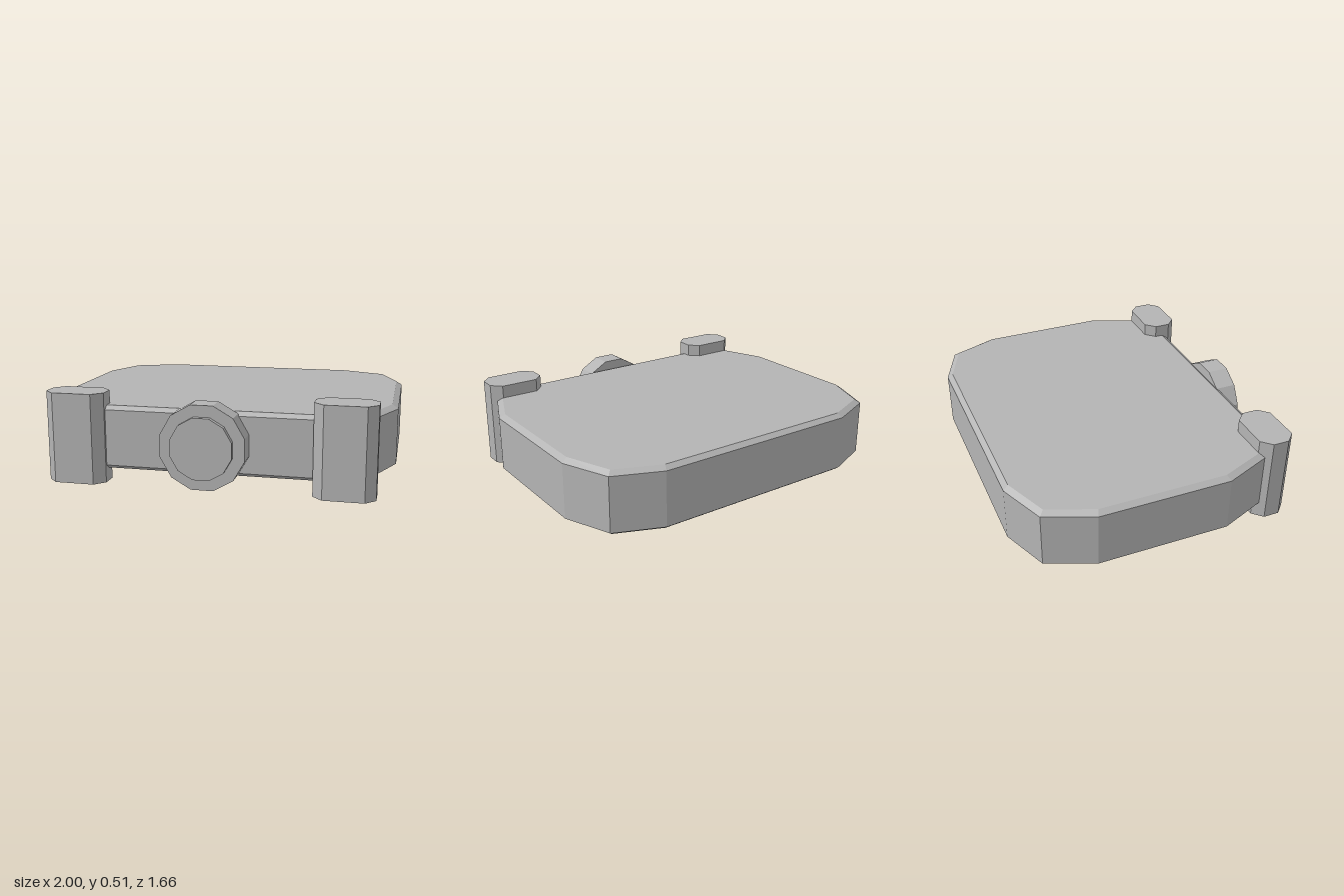
import * as THREE from 'three';

// Convex prism made of stacked outlines: each ring is { y, pts: [[x, z], ...] }
function loft(rings) {
  const pos = [];
  const n = rings[0].pts.length;
  const at = (r, i) => [r.pts[i % n][0], r.y, r.pts[i % n][1]];
  for (let k = 0; k < rings.length - 1; k++) {
    const a = rings[k], b = rings[k + 1];
    for (let i = 0; i < n; i++) {
      pos.push(...at(a, i), ...at(b, i), ...at(b, i + 1));
      pos.push(...at(a, i), ...at(b, i + 1), ...at(a, i + 1));
    }
  }
  const lo = rings[0], hi = rings[rings.length - 1];
  for (let i = 1; i < n - 1; i++) {
    pos.push(...at(lo, 0), ...at(lo, i), ...at(lo, i + 1));
    pos.push(...at(hi, 0), ...at(hi, i + 1), ...at(hi, i));
  }
  const g = new THREE.BufferGeometry();
  g.setAttribute('position', new THREE.Float32BufferAttribute(pos, 3));
  g.computeVertexNormals();
  return g;
}

// Mirror a quarter outline to all four corners, running from +x towards +z
function outline(quarter, cx, cz) {
  const back = [...quarter].reverse();
  return [
    ...quarter.map(([x, z]) => [cx + x, cz + z]),
    ...back.map(([x, z]) => [cx - x, cz + z]),
    ...quarter.map(([x, z]) => [cx - x, cz - z]),
    ...back.map(([x, z]) => [cx + x, cz - z]),
  ];
}

export function createModel() {
  const model = new THREE.Group();
  const grey = new THREE.MeshStandardMaterial({ color: 0xb4b4b4 });
  grey.name = 'plain grey';

  const add = (name, geometry) => {
    const mesh = new THREE.Mesh(geometry.index ? geometry.toNonIndexed() : geometry, grey);
    mesh.geometry.computeVertexNormals();
    mesh.name = name;
    model.add(mesh);
    return mesh;
  };

  // Flat slab with faceted corners and a narrow bevel above and below
  const wide = outline([[1, 0.38], [0.89, 0.65], [0.62, 0.76]], 0, -0.07);
  const inset = outline([[0.967, 0.367], [0.865, 0.625], [0.607, 0.73]], 0, -0.07);
  add('body', loft([
    { y: 0.075, pts: inset },
    { y: 0.097, pts: wide },
    { y: 0.413, pts: wide },
    { y: 0.435, pts: inset },
  ]));

  // Octagonal posts at the front corners
  for (const side of [1, -1]) {
    const pts = outline([[0.168, 0.047], [0.112, 0.103]], side * 0.747, 0.658);
    add(side > 0 ? 'leftPost' : 'rightPost', loft([{ y: 0, pts }, { y: 0.51, pts }]));
  }

  // Twelve-sided dial on the front, with a smaller raised cap
  const disc = (name, radius, z0, z1) => {
    const g = new THREE.CylinderGeometry(radius, radius, z1 - z0, 12);
    g.rotateY(Math.PI / 12).rotateX(Math.PI / 2);
    add(name, g).position.set(0, 0.255, (z0 + z1) / 2);
  };
  disc('dial', 0.24, 0.675, 0.8);
  disc('dialCap', 0.174, 0.79, 0.83);

  return model;
}
